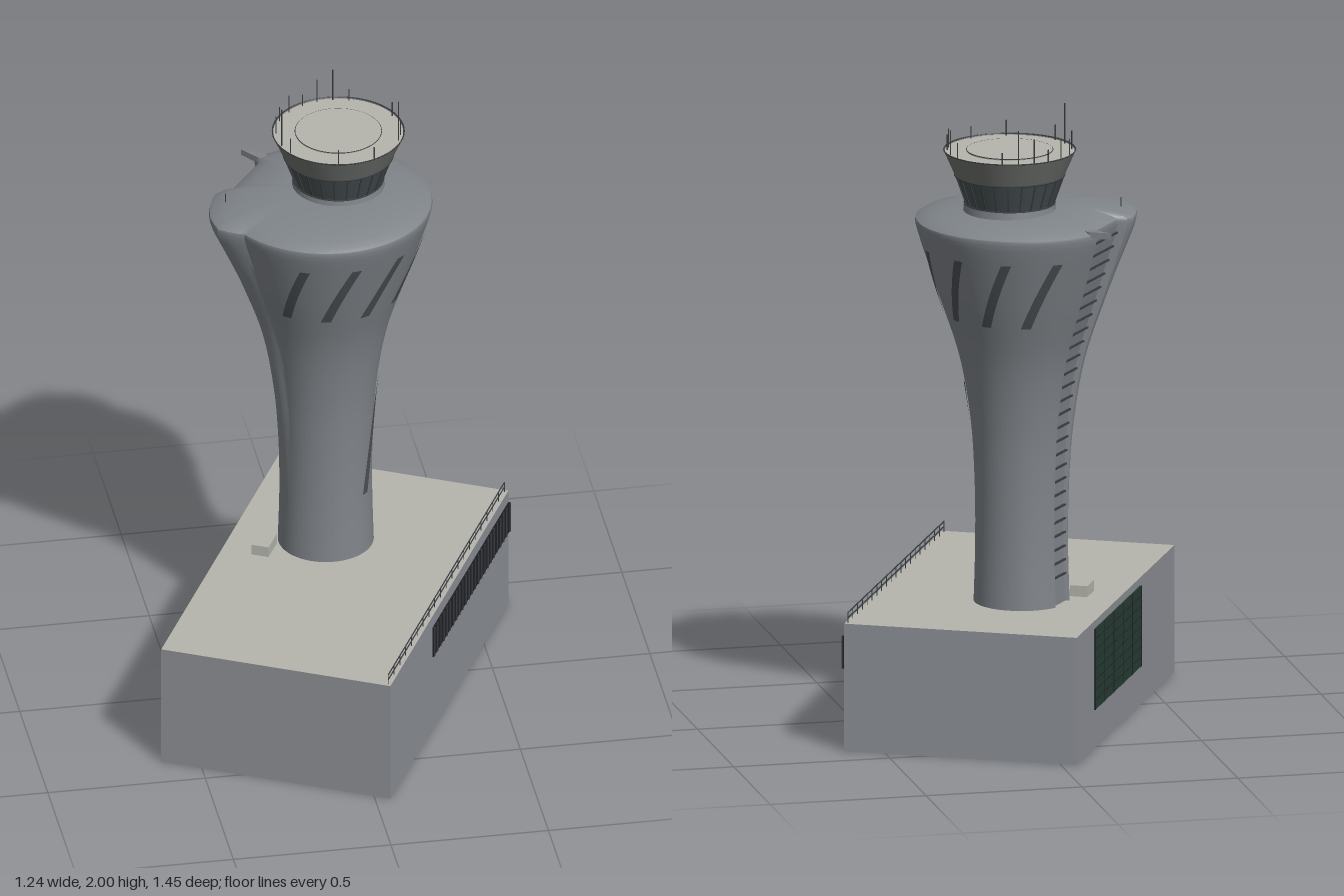
import * as THREE from 'three';
import { toCreasedNormals } from 'three/addons/utils/BufferGeometryUtils.js';

const mat = (name, color, side = THREE.FrontSide) => {
  const m = new THREE.MeshStandardMaterial({ color, side });
  m.name = name;
  return m;
};
const rad = THREE.MathUtils.degToRad;

// Piecewise-linear lookup in [[x, value], ...]
function lerpTable(t, x) {
  if (x <= t[0][0]) return t[0][1];
  for (let i = 1; i < t.length; i++) {
    if (x <= t[i][0]) {
      const [a, va] = t[i - 1], [b, vb] = t[i];
      return va + (vb - va) * (x - a) / (b - a);
    }
  }
  return t[t.length - 1][1];
}

// Shaft: axis, radius by height, and how far the side wing swells by height
const CX = 0.007, CZ = -0.2;
const profile = new THREE.SplineCurve([[0.15, 0.41], [0.145, 0.6], [0.147, 0.8], [0.16, 1.0],
  [0.195, 1.2], [0.26, 1.4], [0.322, 1.59], [0.333, 1.635]].map(p => new THREE.Vector2(...p))).getPoints(36);
const radiusTable = profile.map(p => [p.y, p.x]);
const radiusAt = y => lerpTable(radiusTable, y);
const swell = [[0.6, 0], [0.8, 0.2], [1.0, 0.5], [1.4, 0.55], [1.6, 1]];
const wing = [[252, 0], [255, 0.05], [277, 0.14], [288, 0.155], [293, 0.1], [300, 0]];
const MID = 232.5, HALF = 19.5, INSET = 0.92;

// Radius multiplier round the shaft: flat recess at the back, wing beside it
function section(deg, y) {
  if (Math.abs(deg - MID) < HALF) return INSET * Math.cos(rad(HALF)) / Math.cos(rad(deg - MID));
  return 1 + lerpTable(wing, deg) * lerpTable(swell, y);
}
const onShaft = (deg, r, y) => [CX + r * Math.sin(rad(deg)), y, CZ + r * Math.cos(rad(deg))];

// Grid of rows -> geometry, outward when columns run left to right and rows go up
function gridGeometry(rows) {
  const n = rows[0].length, index = [];
  for (let i = 0; i < rows.length - 1; i++) {
    for (let j = 0; j < n - 1; j++) {
      const a = i * n + j, c = a + n;
      index.push(a, a + 1, c, a + 1, c + 1, c);
    }
  }
  const g = new THREE.BufferGeometry();
  g.setAttribute('position', new THREE.Float32BufferAttribute(rows.flat(2), 3));
  g.setIndex(index);
  g.computeVertexNormals();
  return g;
}

function shaftGeometry() {
  const cap = [[0.331, 1.643], [0.318, 1.651], [0.29, 1.66], [0.24, 1.672], [0.14, 1.682], [0.002, 1.684]];
  const rings = [...profile.map(p => [p.x, p.y, 1]), ...cap.map(([r, y]) => [r, y, Math.min(1, r / 0.3)])];
  const rows = rings.map(([r, y, f]) => {
    const row = [];
    for (let d = 0; d <= 360; d += 2) row.push(onShaft(d, r * (1 + (section(d, y) - 1) * f), y));
    return row;
  });
  return toCreasedNormals(gridGeometry(rows), 0.5);
}

// Slanted slit window lying on the shaft
function slitGeometry(d0, y0, d1, y1, width) {
  const rows = [];
  for (let i = 0; i <= 12; i++) {
    const t = i / 12, y = y0 + (y1 - y0) * t, r = radiusAt(y) + 0.004;
    const h = THREE.MathUtils.radToDeg(width / 2 / r), d = d0 + (d1 - d0) * t;
    rows.push([-h, 0, h].map(o => onShaft(d + o, r, y)));
  }
  return gridGeometry(rows);
}

export function createModel() {
  const D = THREE.DoubleSide;
  const M = {
    wall: mat('wall grey', 0x8c8f95, D),
    tower: mat('tower grey', 0x80858a, D),
    roof: mat('roof stone', 0xb5b5ae, D),
    fascia: mat('cab grey', 0x70736f, D),
    glass: mat('cab glass', 0x475052, D),
    slit: mat('slit grey', 0x4c5054),
    dark: mat('window black', 0x202127),
    metal: mat('dark metal', 0x3c3f43),
    door: mat('door green', 0x263c31, D),
    brown: mat('room brown', 0x40382a),
  };
  const model = new THREE.Group();
  model.name = 'controlTower';
  const add = (parent, name, geo, material, x = 0, y = 0, z = 0) => {
    const m = new THREE.Mesh(geo, material);
    m.name = name;
    m.position.set(x, y, z);
    parent.add(m);
    return m;
  };
  const box = (w, h, d) => new THREE.BoxGeometry(w, h, d);
  const rod = (parent, name, x, y, z, h, r = 0.002) =>
    add(parent, name, new THREE.CylinderGeometry(r, r, h, 5), M.metal, x, y + h / 2, z);

  // Base building, open underneath
  const base = new THREE.Group();
  base.name = 'baseBuilding';
  base.rotation.y = -0.478;
  model.add(base);
  const W = 0.75, L = 1.24, H = 0.41;
  for (const s of [-1, 1]) {
    add(base, 'endWall', new THREE.PlaneGeometry(W, H), M.wall, 0, H / 2, s * L / 2).rotation.y = s > 0 ? 0 : Math.PI;
    add(base, 'sideWall', new THREE.PlaneGeometry(L, H), M.wall, s * W / 2, H / 2, 0).rotation.y = s * Math.PI / 2;
  }
  add(base, 'flatRoof', new THREE.PlaneGeometry(W, L), M.roof, 0, H, 0).rotation.x = -Math.PI / 2;
  add(base, 'innerRoom', box(0.42, 0.08, 0.25), M.brown, 0.16, 0.09, 0.025);

  // Window band with mullions
  add(base, 'windowBand', box(0.006, 0.105, 0.8), M.dark, W / 2 + 0.002, 0.317, -0.22);
  for (let i = 0; i <= 24; i++) {
    add(base, 'windowMullion', box(0.008, 0.105, 0.005), M.metal, W / 2 + 0.004, 0.317, -0.617 + i * 0.033);
  }

  // Green hangar door with dividers
  add(base, 'hangarDoor', box(0.008, 0.26, 0.586), M.door, -W / 2, 0.255, -0.107);
  for (let i = 0; i <= 5; i++) {
    add(base, 'doorDivider', box(0.009, 0.26, 0.004), M.dark, -W / 2 - 0.001, 0.255, -0.398 + i * 0.1165);
  }
  for (let i = 1; i < 8; i++) {
    add(base, 'doorRail', box(0.009, 0.002, 0.586), M.dark, -W / 2 - 0.001, 0.125 + i * 0.0325, -0.107);
  }

  // Roof railing
  for (const y of [0.427, 0.444]) add(base, 'handRail', box(0.003, 0.003, 1.22), M.metal, 0.365, y, 0);
  for (let i = 0; i <= 20; i++) rod(base, 'railPost', 0.365, H, -0.61 + i * 0.061, 0.035, 0.0015);

  // Roof box
  const unit = add(model, 'roofUnit', box(0.056, 0.035, 0.087), M.roof, -0.195, H + 0.0175, -0.165);
  unit.rotation.y = base.rotation.y;

  // Flared shaft
  add(model, 'shaft', shaftGeometry(), M.tower);
  for (let i = 0; i < 8; i++) {
    const d = -40 + i * 30;
    add(model, 'upperSlit', slitGeometry(d, 1.34, d + 18, 1.56, 0.032), M.slit);
  }
  add(model, 'longSlit', slitGeometry(46, 0.62, 86, 1.12, 0.026), M.slit);

  // Louvres across the back recess
  for (let i = 0; i < 26; i++) {
    const y = 0.5 + i * 0.044, R = radiusAt(y);
    const louvre = add(model, 'louvre', box(2 * INSET * R * Math.sin(rad(HALF)), 0.006, 0.012), M.metal,
      ...onShaft(MID, INSET * R * Math.cos(rad(HALF)), y));
    louvre.rotation.y = rad(MID);
  }

  // Pointed fin beside the recess
  const fin = new THREE.Shape([[-0.205, 0.525], [-0.14, 0.49], [-0.09, 0.39], [-0.11, 0.4]]
    .map(p => new THREE.Vector2(...p)).reverse());
  add(model, 'cornerFin', new THREE.ExtrudeGeometry(fin, { depth: 0.02, bevelEnabled: false }), M.tower, 0, 1.635, 0)
    .rotation.x = -Math.PI / 2;
  rod(model, 'wingAntenna', -0.31, 1.64, -0.21, 0.05);

  // Control cab
  const cab = new THREE.Group();
  cab.name = 'cab';
  cab.position.set(0.052, 0, -0.23);
  model.add(cab);
  const ring = (name, r0, y0, r1, y1, material) =>
    add(cab, name, new THREE.CylinderGeometry(r1, r0, y1 - y0, 64, 1, true), material, 0, (y0 + y1) / 2, 0);
  ring('cabCollar', 0.148, 1.655, 0.143, 1.70, M.tower);
  ring('cabGlass', 0.138, 1.70, 0.170, 1.79, M.glass);
  ring('cabFascia', 0.172, 1.79, 0.207, 1.87, M.fascia);
  for (const [r, y] of [[0.141, 1.70], [0.172, 1.79]]) {
    add(cab, 'cabSill', new THREE.TorusGeometry(r, 0.003, 5, 64), M.metal, 0, y, 0).rotation.x = Math.PI / 2;
  }
  for (let i = 0; i < 24; i++) {
    const pivot = new THREE.Group();
    pivot.name = 'cabMullion';
    pivot.rotation.y = i * Math.PI / 12;
    cab.add(pivot);
    add(pivot, 'mullionBar', box(0.004, 0.096, 0.004), M.metal, 0, 1.745, 0.155).rotation.x = 0.342;
  }
  add(cab, 'cabRoof', new THREE.CylinderGeometry(0.203, 0.2, 0.008, 64), M.roof, 0, 1.862, 0);
  add(cab, 'cabRoofRim', new THREE.TorusGeometry(0.206, 0.002, 5, 64), M.metal, 0, 1.87, 0).rotation.x = Math.PI / 2;
  add(cab, 'cabRoofStep', new THREE.CylinderGeometry(0.135, 0.135, 0.006, 64), M.roof, 0, 1.868, 0);
  add(cab, 'cabRoofSeam', new THREE.TorusGeometry(0.135, 0.0015, 4, 64), M.metal, 0, 1.87, 0).rotation.x = Math.PI / 2;

  // Roof antennas: angle, height
  const masts = [[285, 0.13], [262, 0.06], [240, 0.05], [300, 0.05], [222, 0.06], [205, 0.04], [190, 0.08],
    [175, 0.11], [160, 0.04], [110, 0.05], [95, 0.08], [75, 0.05], [65, 0.06], [25, 0.04], [350, 0.05]];
  for (const [d, h] of masts) rod(cab, 'antenna', 0.195 * Math.sin(rad(d)), 1.866, 0.195 * Math.cos(rad(d)), h);
  return model;
}
